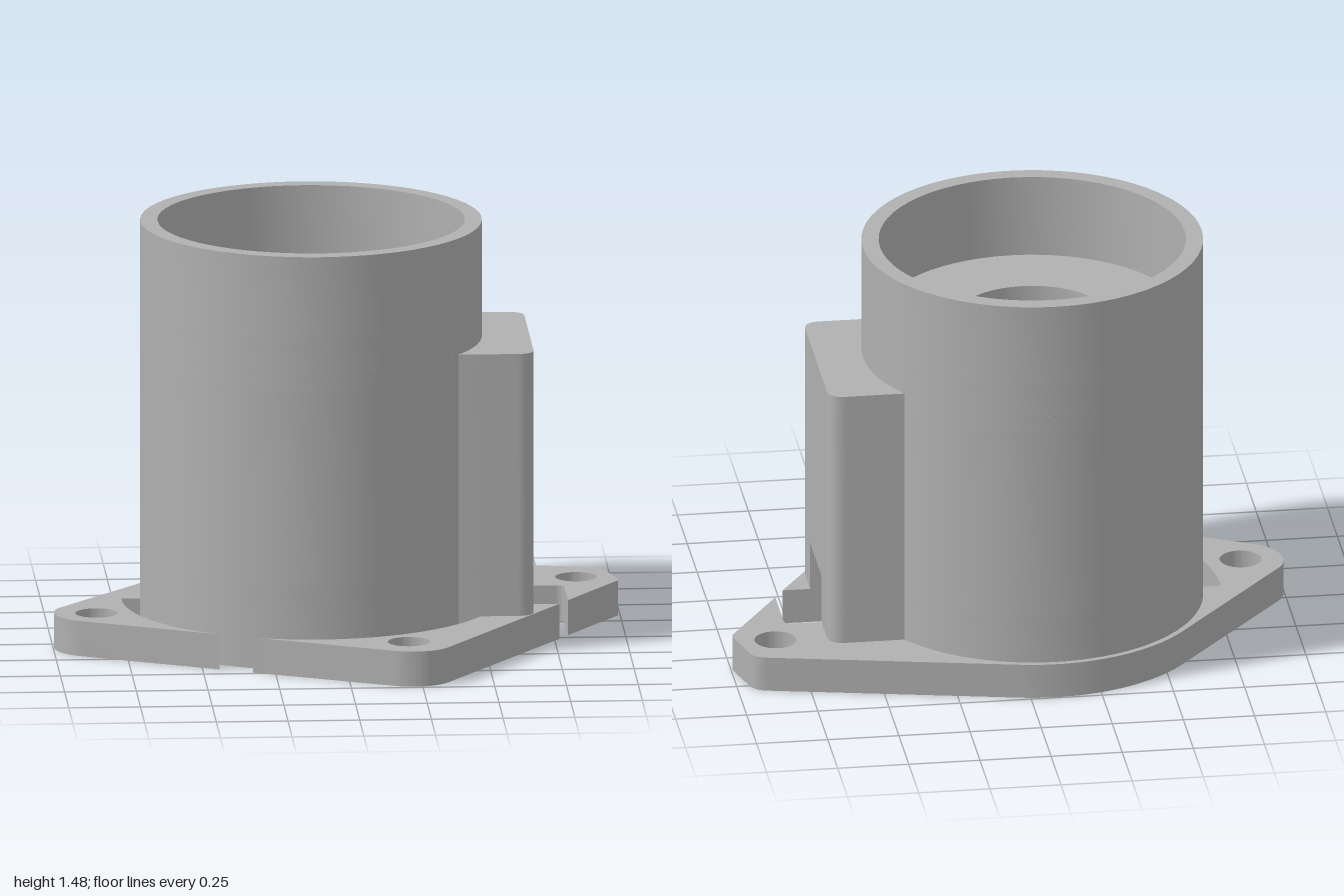
import * as THREE from 'three';
import { toCreasedNormals } from 'three/addons/utils/BufferGeometryUtils.js';

const CX = -0.09, CZ = -0.13;          // axis of the barrel
const R = 0.595, BORE = 0.265;         // barrel and bore radii
const A = Math.asin(0.33 / R);         // where the side housing meets the barrel
const rad = THREE.MathUtils.degToRad;

// Corners of the inner cavity and of the cable window in its +x wall
const CAV = { x0: -0.355, x1: 0.61, z0: -0.4, z1: 0.14 };
const WIN = { z0: -0.27, z1: 0.02 };

export function createModel() {
  const grey = new THREE.MeshStandardMaterial({ color: 0xb0b0b0 });
  grey.name = 'grey plastic';
  const model = new THREE.Group();
  model.name = 'mountingHousing';

  // Extrude an (x, z) shape between two heights
  function layer(name, shape, y0, y1) {
    let g = new THREE.ExtrudeGeometry(shape, { depth: y1 - y0, bevelEnabled: false, curveSegments: 32 });
    g.rotateX(Math.PI / 2).translate(0, y1, 0);
    g = toCreasedNormals(g, 0.5);
    const mesh = new THREE.Mesh(g, grey);
    mesh.name = name;
    model.add(mesh);
  }
  const lines = (s, pts) => pts.forEach(([x, z]) => s.lineTo(x, z));
  const circle = (C, x, z, r) => new C().absarc(x, z, r, 0, Math.PI * 2, false);

  // Walk round the cavity from the front jamb of the window to the back jamb
  const cavityWalk = [
    [CAV.x1, WIN.z1], [CAV.x1, CAV.z1], [CAV.x0, CAV.z1],
    [CAV.x0, CAV.z0], [CAV.x1, CAV.z0], [CAV.x1, WIN.z0],
  ];

  // Flange: three lugs, curved slot open to the front edge, cable notch
  const flange = new THREE.Shape();
  const slot = 0.66;
  flange.moveTo(-0.9, 0.2);
  flange.absarc(CX, CZ, slot, rad(122.2), rad(181.7), false);
  flange.absarc(CX, CZ, R, rad(181.9), A, true);
  flange.absarc(CX, CZ, slot, rad(30), rad(111.2), false);
  flange.lineTo(0.14, 0.715);
  flange.bezierCurveTo(0.2, 0.75, 0.29, 0.75, 0.34, 0.68);
  flange.lineTo(0.767, WIN.z1);
  lines(flange, cavityWalk);
  flange.lineTo(0.77, WIN.z0);
  flange.quadraticCurveTo(0.8, WIN.z0, 0.8, -0.24);
  lines(flange, [[0.8, -0.035], [0.985, -0.325]]);
  flange.quadraticCurveTo(1.0, -0.345, 0.99, -0.375);
  flange.lineTo(0.955, -0.5);
  flange.quadraticCurveTo(0.945, -0.54, 0.9, -0.55);
  flange.absarc(CX, CZ, 0.615, rad(-78), rad(-139.2), true);
  flange.lineTo(-0.965, -0.03);
  flange.bezierCurveTo(-1.02, 0.03, -1.01, 0.15, -0.9, 0.2);
  for (const [x, z] of [[0.85, -0.4], [-0.85, 0.07], [0.21, 0.58]]) {
    flange.holes.push(circle(THREE.Path, x, z, 0.073));
  }
  layer('flange', flange, 0, 0.125);

  // Barrel joined to the rounded side housing, optionally with the window cut
  function bodyShape(windowed) {
    const s = new THREE.Shape();
    s.absarc(CX, CZ, R, A, Math.PI * 2 - A, false);
    s.lineTo(0.61, -0.46);
    s.quadraticCurveTo(0.67, -0.46, 0.67, -0.4);
    if (windowed) lines(s, [[0.67, WIN.z0], ...[...cavityWalk].reverse(), [0.67, WIN.z1]]);
    s.lineTo(0.67, 0.14);
    s.quadraticCurveTo(0.67, 0.2, 0.61, 0.2);
    s.closePath();
    return s;
  }
  layer('lowerBodyWithWindow', bodyShape(true), 0.125, 0.3);

  const middle = bodyShape(false);
  middle.holes.push(new THREE.Path([
    [CAV.x0, CAV.z0], [CAV.x1, CAV.z0], [CAV.x1, CAV.z1], [CAV.x0, CAV.z1],
  ].map(([x, z]) => new THREE.Vector2(x, z))));
  layer('middleBody', middle, 0.3, 1.0);

  const roof = bodyShape(false);
  roof.holes.push(circle(THREE.Path, CX, CZ, BORE));
  layer('housingRoof', roof, 1.0, 1.06);

  // Inner shelf with the bore, then the open cup above it
  const shelf = circle(THREE.Shape, CX, CZ, R);
  shelf.holes.push(circle(THREE.Path, CX, CZ, BORE));
  layer('barrelShelf', shelf, 1.06, 1.18);

  const cup = circle(THREE.Shape, CX, CZ, R);
  cup.holes.push(circle(THREE.Path, CX, CZ, 0.535));
  layer('barrelCup', cup, 1.18, 1.475);

  return model;
}
